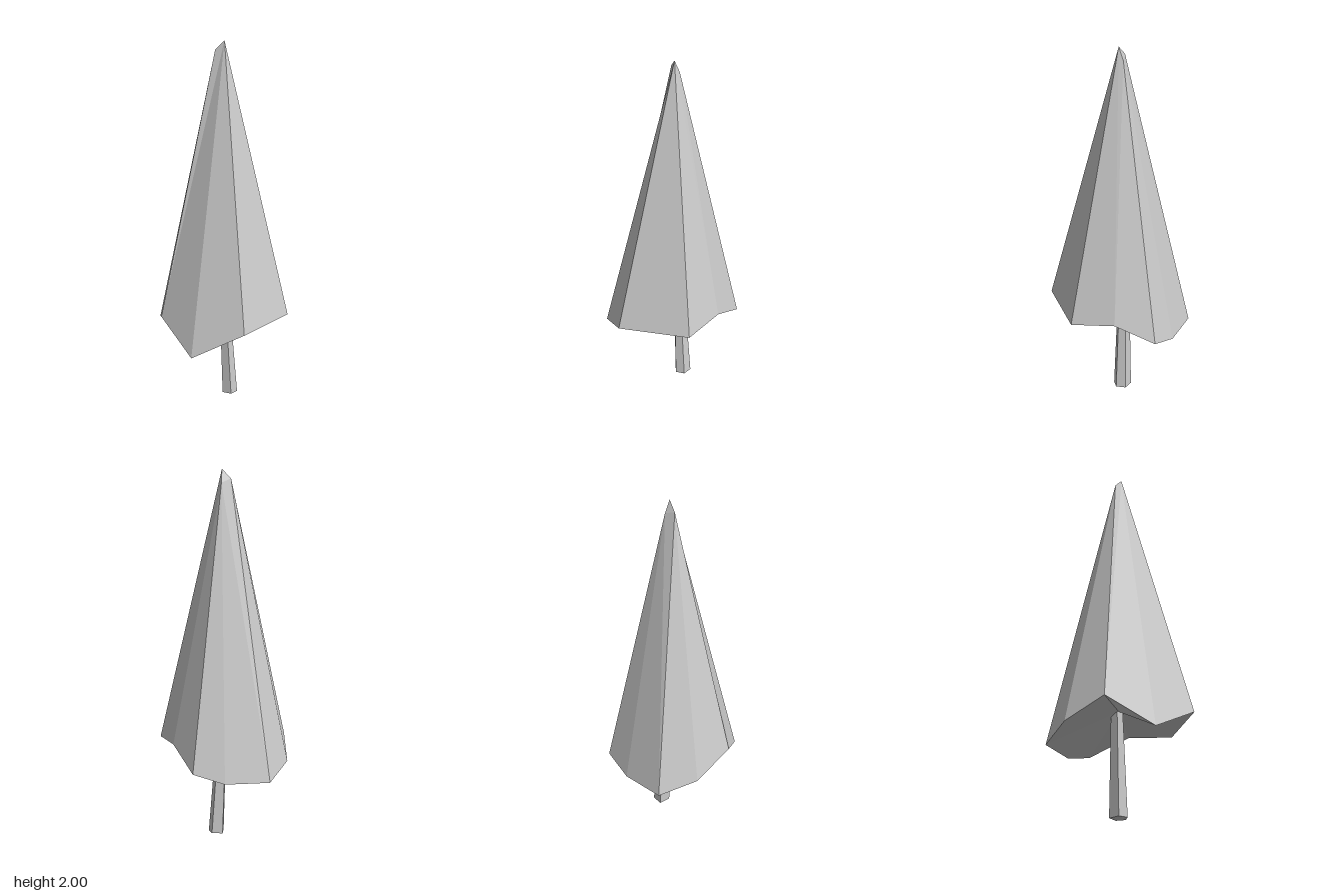
import * as THREE from 'three';

// Flat-shaded mesh from a list of corner triples
function facetMesh(name, triangles) {
  const geometry = new THREE.BufferGeometry();
  geometry.setAttribute('position', new THREE.Float32BufferAttribute(triangles.flat(2), 3));
  geometry.computeVertexNormals();
  const mesh = new THREE.Mesh(
    geometry,
    new THREE.MeshStandardMaterial({ color: 0xcccccc, flatShading: true })
  );
  mesh.name = name;
  return mesh;
}

// Walls between two loops, with a fan closing the lower loop.
// Loops run clockwise seen from above; repeated upper points give triangles.
function wallsAndBase(lower, upper, baseCentre) {
  const triangles = [];
  lower.forEach((a, i) => {
    const j = (i + 1) % lower.length;
    triangles.push([a, upper[i], lower[j]]);
    if (upper[i] !== upper[j]) triangles.push([lower[j], upper[i], upper[j]]);
    triangles.push([a, lower[j], baseCentre]);
  });
  return triangles;
}

// Foliage: jagged nine-point rim rising to a tiny slanted three-point tip
function makeFoliage() {
  const rim = [
    [0.375, 0.51, 0.175], [0.147, 0.36, 0.345], [-0.11, 0.52, 0.33],
    [-0.297, 0.43, 0.177], [-0.378, 0.37, -0.027], [-0.243, 0.37, -0.227],
    [-0.12, 0.42, -0.345], [0.095, 0.53, -0.302], [0.318, 0.51, -0.213],
  ];
  const peak = [0.02, 2, -0.017];
  const back = [0, 1.93, -0.038];
  const side = [-0.018, 1.95, 0.014];
  const tips = [peak, peak, side, side, back, back, back, peak, peak];
  const triangles = wallsAndBase(rim, tips, [0.005, 0.57, -0.02]);
  triangles.push([peak, back, side]);
  return facetMesh('foliage', triangles);
}

// Trunk: uneven five-sided post, tapering and leaning into the foliage
function makeTrunk() {
  const foot = [[0.005, -0.02], [-0.04, -0.067], [0, -0.11], [0.05, -0.09], [0.053, -0.04]];
  const lower = foot.map(([x, z]) => [x, 0, z]);
  const upper = foot.map(([x, z]) => [(x - 0.014) * 0.65, 0.58, -0.036 + (z + 0.066) * 0.65]);
  return facetMesh('trunk', wallsAndBase(lower, upper, [0.014, 0, -0.066]));
}

export function createModel() {
  const tree = new THREE.Group();
  tree.name = 'tree';
  tree.add(makeFoliage(), makeTrunk());
  return tree;
}
